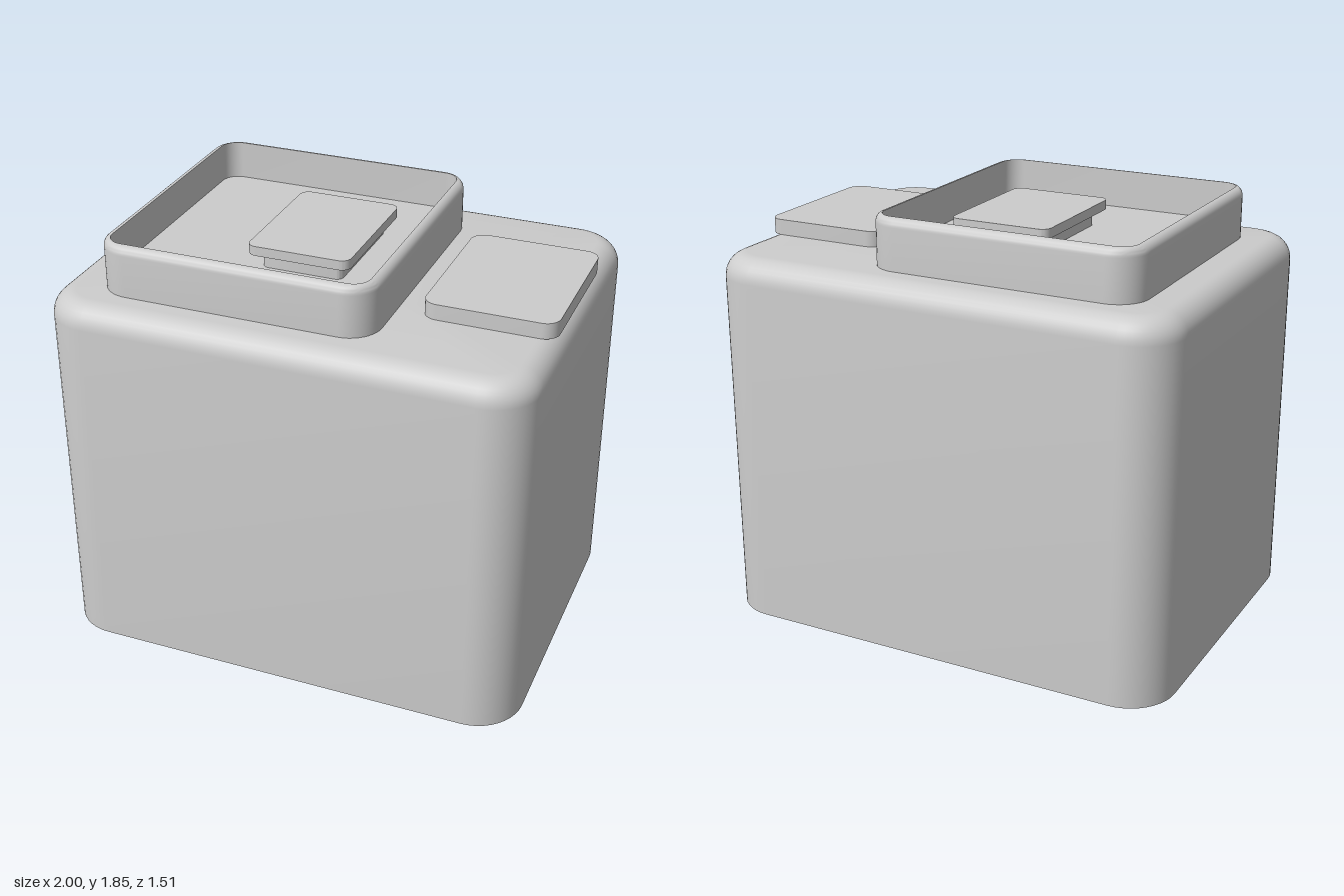
import * as THREE from 'three';
import { toCreasedNormals } from 'three/addons/utils/BufferGeometryUtils.js';

const CORNER_STEPS = 10;

// Points of a rounded rectangle, counter-clockwise from above
function roundedRing([w, d, r, y]) {
  const points = [];
  const signs = [[1, 1], [-1, 1], [-1, -1], [1, -1]];
  signs.forEach(([sx, sz], q) => {
    for (let i = 0; i <= CORNER_STEPS; i++) {
      const a = (q + i / CORNER_STEPS) * Math.PI / 2;
      points.push([sx * (w / 2 - r) + r * Math.cos(a), y, -sz * (d / 2 - r) - r * Math.sin(a)]);
    }
  });
  return points;
}

// Solid through a stack of [width, depth, corner radius, height] sections, capped at both ends
function loft(sections) {
  const rings = sections.map(roundedRing);
  const n = rings[0].length;
  const index = [];
  for (let i = 0; i < rings.length - 1; i++) {
    for (let j = 0; j < n; j++) {
      const k = (j + 1) % n;
      const a = i * n + j, b = i * n + k;
      index.push(a, b, b + n, a, b + n, a + n);
    }
  }
  const last = (rings.length - 1) * n;
  const bottom = rings.length * n, top = bottom + 1;
  for (let j = 0; j < n; j++) {
    const k = (j + 1) % n;
    index.push(bottom, k, j, top, last + j, last + k);
  }
  const points = [...rings.flat(), [0, sections[0][3], 0], [0, sections.at(-1)[3], 0]];
  const geometry = new THREE.BufferGeometry();
  geometry.setAttribute('position', new THREE.Float32BufferAttribute(points.flat(), 3));
  geometry.setIndex(index);
  return toCreasedNormals(geometry, 0.6);
}

// Wall sections ending in a quarter-round top edge
function filletedWall(w, d, r, innerR, y0, y1, fillet) {
  const sections = [[w, d, r, y0]];
  for (let i = 0; i <= 8; i++) {
    const a = i / 8 * Math.PI / 2;
    const t = 1 - Math.cos(a);
    sections.push([w - 2 * fillet * t, d - 2 * fillet * t, r + (innerR - r) * t,
      y1 - fillet + fillet * Math.sin(a)]);
  }
  return sections;
}

export function createModel() {
  const model = new THREE.Group();
  model.name = 'casing';
  const grey = new THREE.MeshStandardMaterial({ color: 0xcccccc });
  grey.name = 'light grey';

  function add(name, geometry, x = 0, y = 0, z = 0) {
    const mesh = new THREE.Mesh(geometry, grey);
    mesh.name = name;
    mesh.position.set(x, y, z);
    model.add(mesh);
  }
  const plate = (w, d, r, y0, y1) => loft([[w, d, r, y0], [w, d, r, y1]]);

  // Main housing with rounded sides and top edge
  add('body', loft(filletedWall(2, 1.51, 0.2, 0.105, 0.07, 1.635, 0.095)));

  // Open tray: outer wall, rounded rim, inner wall, floor
  const tray = filletedWall(1.15, 1.205, 0.13, 0.07, 1.62, 1.845, 0.036);
  const rim = tray.at(-1);
  tray.push([rim[0], rim[1], rim[2], 1.685]);
  add('tray', loft(tray), -0.235, 0, -0.002);

  // Raised platform inside the tray
  add('platformBase', plate(0.34, 0.495, 0.03, 1.68, 1.75), -0.085, 0, -0.002);
  add('platformTop', plate(0.43, 0.585, 0.04, 1.75, 1.79), -0.085, 0, -0.002);

  // Side panel overhanging the rounded top edge
  add('sidePanel', plate(0.53, 0.675, 0.06, 1.635, 1.7), 0.71, 0, -0.002);

  // Four feet and a centre pin
  for (const x of [-0.68, 0.675]) {
    for (const z of [-0.5, 0.5]) {
      add('foot', new THREE.CylinderGeometry(0.065, 0.065, 0.045, 32), x, 0.0575, z);
    }
  }
  add('centrePin', new THREE.CylinderGeometry(0.043, 0.043, 0.08, 32), -0.003, 0.04, 0);

  return model;
}
